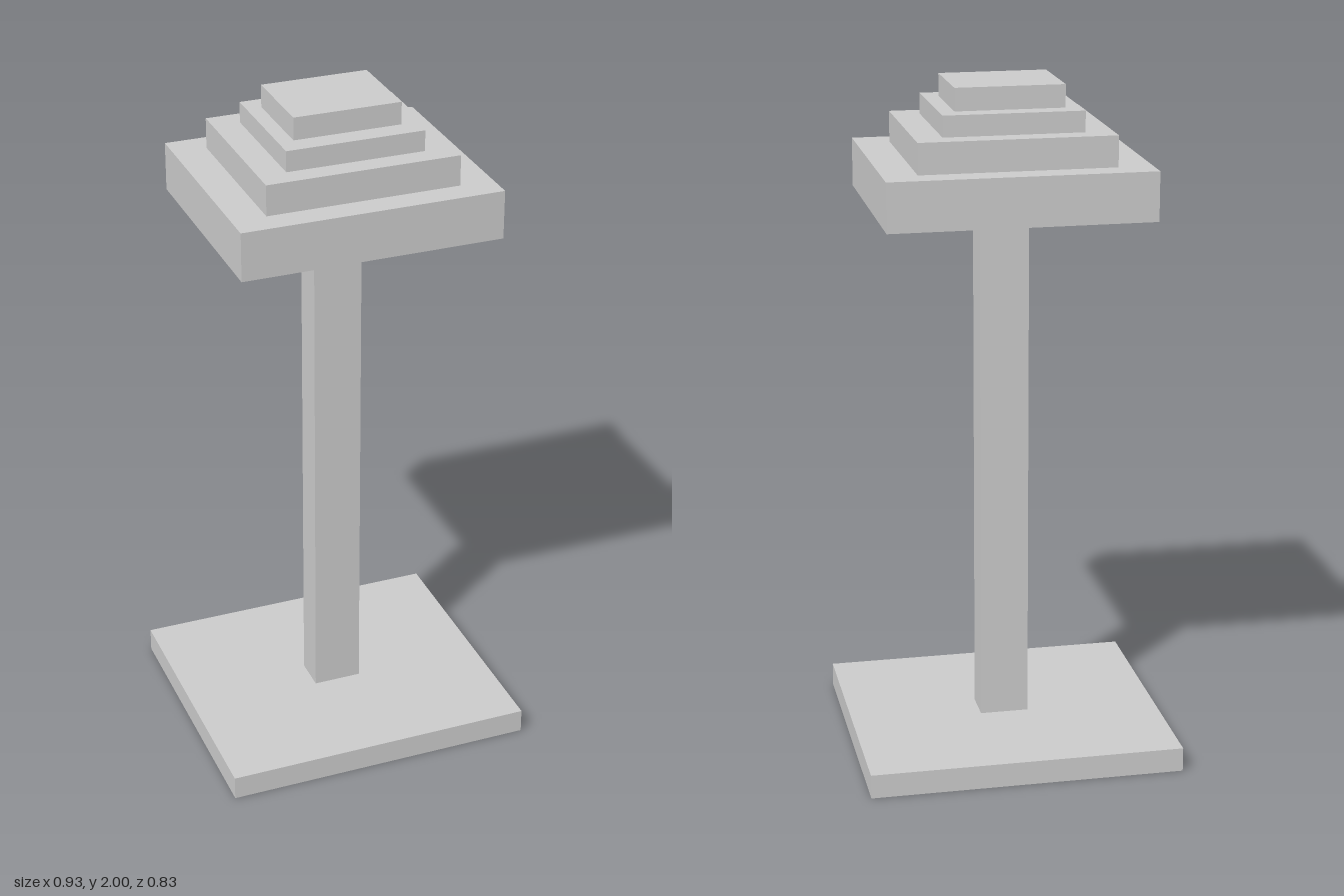
import * as THREE from 'three';

export function createModel() {
  const group = new THREE.Group();
  const material = new THREE.MeshStandardMaterial({ color: 0xcccccc, flatShading: true });

  // Stacked blocks: name, width, depth, bottom, top, z offset
  const blocks = [
    ['base', 0.928, 0.828, 0, 0.072, 0],
    ['post', 0.144, 0.104, 0.072, 1.64, 0],
    ['capTier1', 0.766, 0.656, 1.64, 1.783, 0],
    ['capTier2', 0.566, 0.503, 1.783, 1.873, -0.001],
    ['capTier3', 0.405, 0.378, 1.873, 1.934, -0.001],
    ['capTier4', 0.316, 0.258, 1.934, 2, -0.004],
  ];

  for (const [name, width, depth, bottom, top, z] of blocks) {
    const mesh = new THREE.Mesh(new THREE.BoxGeometry(width, top - bottom, depth), material);
    mesh.name = name;
    mesh.position.set(0, (bottom + top) / 2, z);
    group.add(mesh);
  }
  return group;
}
